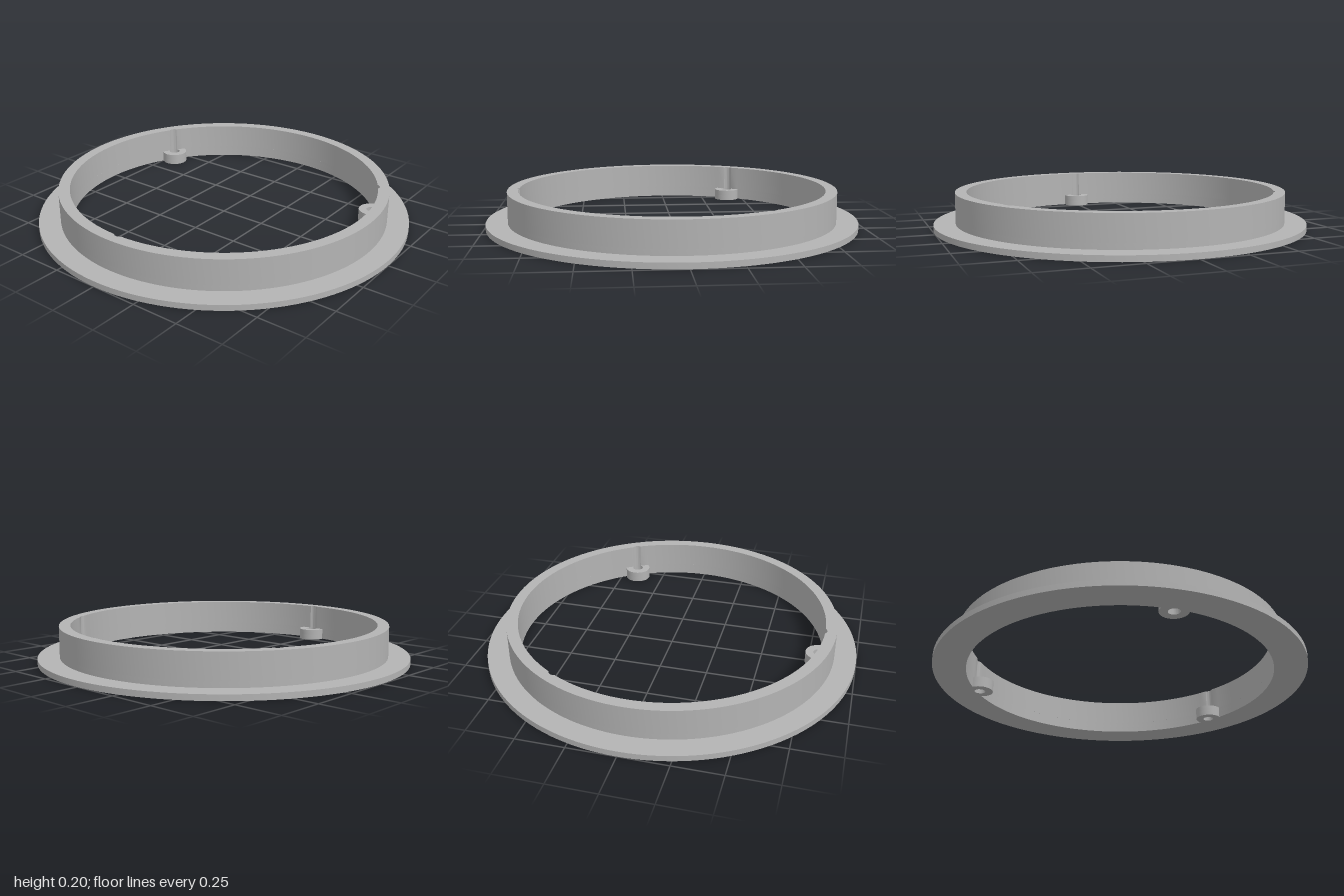
import * as THREE from 'three';
import { toCreasedNormals } from 'three/addons/utils/BufferGeometryUtils.js';

const OUTER = 1, WALL = 0.885, INNER = 0.825;
const BOLT_RING = 0.805, LUG = 0.072, BOLT = 0.03;
const ANGLES = [-90, 30, 150].map(THREE.MathUtils.degToRad);

const polar = (r, a, cx = 0, cy = 0) => new THREE.Vector2(cx + r * Math.cos(a), cy + r * Math.sin(a));

function circle(r, cx, cy, n) {
  return Array.from({ length: n }, (_, i) => polar(r, (i / n) * Math.PI * 2, cx, cy));
}

// Inner outline: a circle interrupted by three small arcs,
// bulging inward (lugs) or cut outward (bolt grooves)
function innerOutline(r, inward) {
  const t = Math.acos((INNER ** 2 + BOLT_RING ** 2 - r * r) / (2 * INNER * BOLT_RING));
  const b = Math.atan2(INNER * Math.sin(t), INNER * Math.cos(t) - BOLT_RING);
  const end = inward ? b - Math.PI * 2 : b;
  const points = [];
  for (const a of ANGLES) {
    const c = polar(BOLT_RING, a);
    for (let i = 0; i <= 24; i++) {
      points.push(polar(r, a - b + (end + b) * (i / 24), c.x, c.y));
    }
    const span = Math.PI * 2 / 3 - 2 * t;
    for (let i = 1; i < 40; i++) points.push(polar(INNER, a + t + span * (i / 40)));
  }
  return points;
}

function layer(name, radius, y0, y1, holes, material) {
  const shape = new THREE.Shape(circle(radius, 0, 0, 128));
  shape.holes = holes.map((points) => new THREE.Path(points));
  const extruded = new THREE.ExtrudeGeometry(shape, { depth: y1 - y0, bevelEnabled: false });
  extruded.rotateX(-Math.PI / 2).translate(0, y0, 0);
  const mesh = new THREE.Mesh(toCreasedNormals(extruded, 0.6), material);
  mesh.name = name;
  return mesh;
}

export function createModel() {
  const group = new THREE.Group();
  group.name = 'flangedRing';
  const grey = new THREE.MeshStandardMaterial({ color: 0xb3b3b3 });
  grey.name = 'grey';

  const boltHoles = ANGLES.map((a) => {
    const c = polar(BOLT_RING, a);
    return circle(BOLT, c.x, c.y, 32);
  });
  const lugHoles = [innerOutline(LUG, true), ...boltHoles];

  // Flange, then the wall at lug height, then the grooved wall above
  group.add(
    layer('flangeWithLugs', OUTER, 0, 0.03, lugHoles, grey),
    layer('lowerWallWithLugs', WALL, 0.03, 0.06, lugHoles, grey),
    layer('groovedUpperWall', WALL, 0.06, 0.195, [innerOutline(BOLT, false)], grey),
  );
  return group;
}
